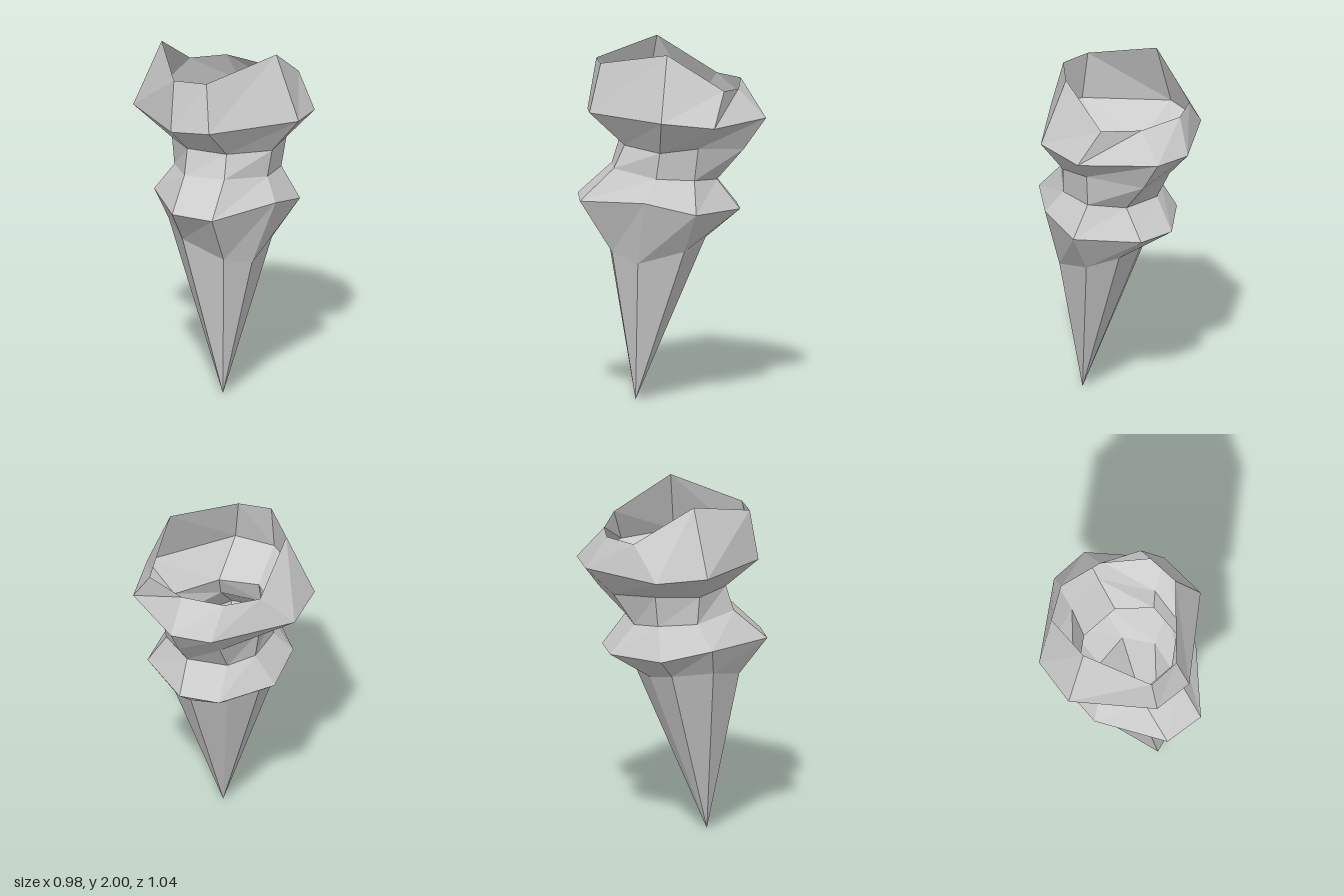
import * as THREE from 'three';

// Eight-sided cross-sections, each corner [x, y, z], counterclockwise from the front left
const shoulder = [[-0.25, 1.0, 0.19], [-0.1, 0.95, 0.36], [0.14, 0.85, 0.34], [0.255, 0.8, 0.2],
  [0.275, 0.87, -0.06], [0.14, 0.93, -0.185], [-0.06, 0.94, -0.14], [-0.215, 0.98, -0.04]];
const collar = [[-0.345, 1.155, 0.17], [-0.1, 1.15, 0.52], [0.14, 1.14, 0.52], [0.385, 1.165, 0.17],
  [0.42, 1.1, -0.12], [0.14, 1.09, -0.38], [-0.09, 1.09, -0.37], [-0.335, 1.1, -0.12]];
const neckLow = [[-0.25, 1.29, 0.1], [-0.1, 1.32, 0.33], [0.14, 1.325, 0.33], [0.31, 1.29, 0.1],
  [0.31, 1.28, -0.115], [0.14, 1.26, -0.25], [-0.095, 1.26, -0.235], [-0.22, 1.28, -0.12]];
const neckHigh = [[-0.26, 1.45, 0.11], [-0.1, 1.465, 0.285], [0.13, 1.455, 0.27], [0.33, 1.44, 0.08],
  [0.335, 1.465, -0.135], [0.14, 1.43, -0.4], [-0.09, 1.44, -0.35], [-0.25, 1.46, -0.14]];
const bowl = [[-0.49, 1.62, 0.12], [-0.13, 1.62, 0.465], [0.1, 1.635, 0.465], [0.49, 1.635, 0.08],
  [0.47, 1.6, -0.22], [0.14, 1.605, -0.525], [-0.09, 1.6, -0.51], [-0.47, 1.6, -0.17]];
const rim = [[-0.34, 2.0, 0.065], [-0.13, 1.91, 0.415], [0.06, 1.91, 0.4], [0.34, 2.0, 0.04],
  [0.35, 1.795, -0.28], [0.13, 1.77, -0.37], [-0.13, 1.79, -0.395], [-0.3, 1.79, -0.27]];
const tip = Array(8).fill([0.083, 0, 0.205]);

const material = new THREE.MeshStandardMaterial({
  color: 0xcccccc, flatShading: true, side: THREE.DoubleSide,
});

// Skins a band of facets between two cross-sections
function band(name, low, high) {
  const positions = [];
  for (let i = 0; i < low.length; i++) {
    const j = (i + 1) % low.length;
    if (low !== tip) positions.push(...low[i], ...low[j], ...high[j]);
    positions.push(...low[i], ...high[j], ...high[i]);
  }
  const geometry = new THREE.BufferGeometry();
  geometry.setAttribute('position', new THREE.Float32BufferAttribute(positions, 3));
  geometry.computeVertexNormals();
  const mesh = new THREE.Mesh(geometry, material);
  mesh.name = name;
  return mesh;
}

export function createModel() {
  const group = new THREE.Group();
  group.name = 'hollowSpike';
  group.add(
    band('pointedRoot', tip, shoulder),
    band('collarUnderside', shoulder, collar),
    band('collarTop', collar, neckLow),
    band('neck', neckLow, neckHigh),
    band('bowlUnderside', neckHigh, bowl),
    band('openBowl', bowl, rim),
  );
  return group;
}
